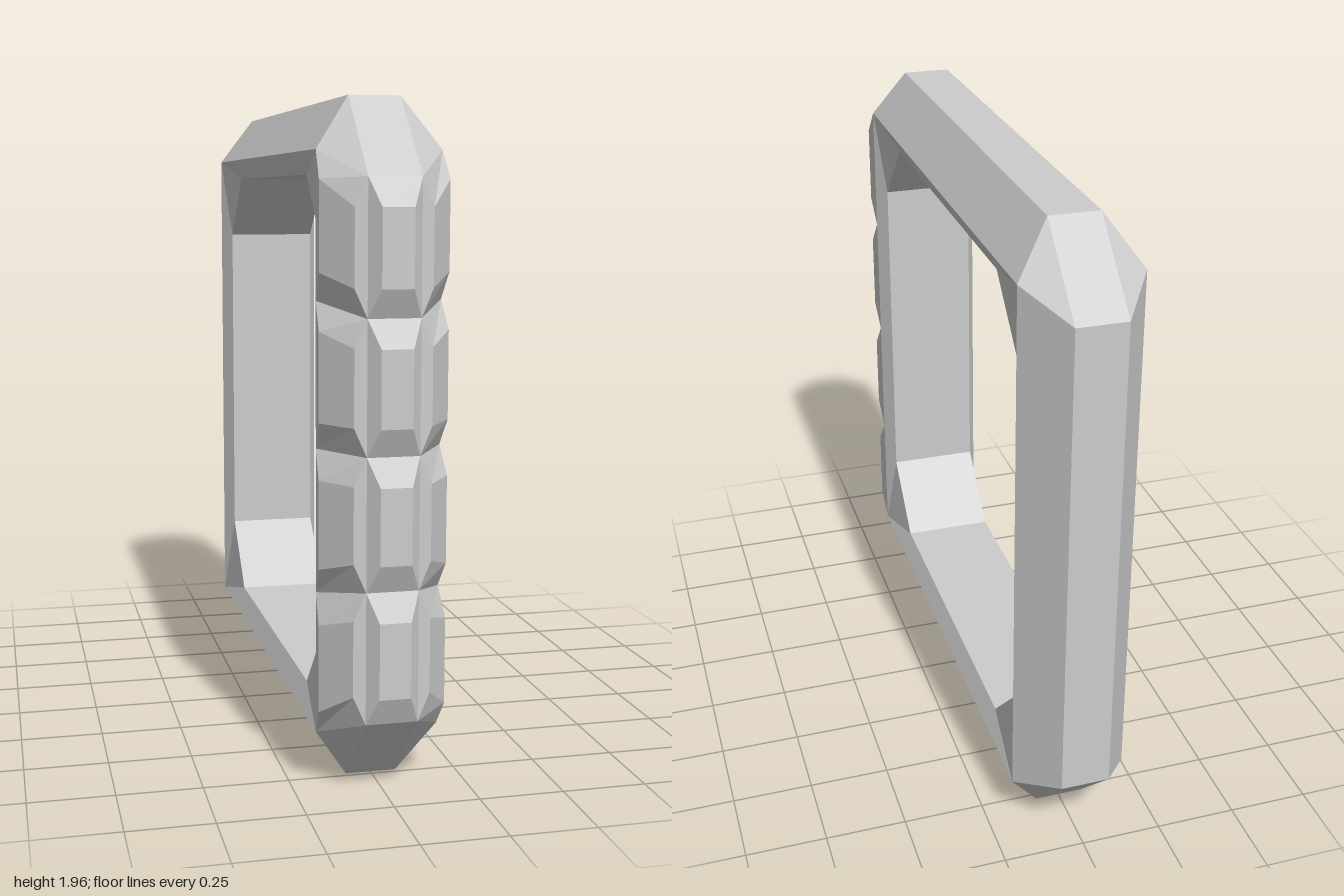
import * as THREE from 'three';

// Builds a faceted mesh from counter-clockwise quads of [x, y, z] corners
function facetedMesh(name, quads) {
  const position = [];
  for (const [a, b, c, d] of quads) {
    for (const tri of [[a, b, c], [a, c, d]]) {
      const [p, q, r] = tri.map((v) => new THREE.Vector3(...v));
      const area = q.clone().sub(p).cross(r.clone().sub(p)).length();
      if (area > 1e-7) position.push(...tri.flat()); // drop collapsed corners
    }
  }
  const geometry = new THREE.BufferGeometry();
  geometry.setAttribute('position', new THREE.Float32BufferAttribute(position, 3));
  geometry.computeVertexNormals();
  const material = new THREE.MeshStandardMaterial({ color: 0xcccccc, flatShading: true });
  const mesh = new THREE.Mesh(geometry, material);
  mesh.name = name;
  return mesh;
}

// Loops as [z, y], running up the front, back over the top, down the back
const OUTER = [[0.965, 0.23], [0.965, 1.735], [0.74, 1.96], [-0.77, 1.96],
  [-1, 1.74], [-1, 0.235], [-0.77, 0], [0.735, 0]];
const EDGE = [[0.8, 0.16], [0.8, 1.81], [0.8, 1.81], [-0.845, 1.81],
  [-0.845, 1.81], [-0.845, 0.16], [-0.845, 0.16], [0.8, 0.16]];
const INNER = [[0.745, 0.43], [0.745, 1.535], [0.54, 1.745], [-0.57, 1.745],
  [-0.78, 1.54], [-0.78, 0.435], [-0.57, 0.225], [0.54, 0.225]];
const OUTER_X = 0.075, EDGE_X = 0.18, INNER_X = 0.15;

// Six-sided section swept around the square loop, open where the studs sit
function createFrame() {
  const rails = [[OUTER, OUTER_X], [EDGE, EDGE_X], [INNER, INNER_X],
    [INNER, -INNER_X], [EDGE, -EDGE_X], [OUTER, -OUTER_X]];
  const point = (i, j) => {
    const [loop, x] = rails[j % 6];
    const [z, y] = loop[i % 8];
    return [x, y, z];
  };
  const quads = [];
  for (let i = 0; i < 8; i++) {
    for (let j = 0; j < 6; j++) {
      if (i === 0 && (j === 0 || j > 3)) continue;
      quads.push([point(i, j), point(i, j + 1), point(i + 1, j + 1), point(i + 1, j)]);
    }
  }
  return facetedMesh('squareFrame', quads);
}

// Four rows of three bevelled studs with V grooves between them
function createStuds() {
  const rows = 4;
  const quads = [];
  const rowY = (edge, r) => {
    const [low, high] = edge ? [0.16, 1.81] : [0.23, 1.735];
    return low + (high - low) * r / rows;
  };
  // each column: left and right base [x, z], left and right cap [x, z]
  const columns = [
    [[-EDGE_X, 0.8], [-OUTER_X, 0.965], [-0.185, 0.86], [-0.11, 0.96]],
    [[-OUTER_X, 0.965], [OUTER_X, 0.965], [-0.045, 1], [0.045, 1]],
    [[OUTER_X, 0.965], [EDGE_X, 0.8], [0.11, 0.96], [0.185, 0.86]],
  ];
  columns.forEach(([baseL, baseR, capL, capR], c) => {
    for (let r = 0; r < rows; r++) {
      const ring = (left, right, inset) => {
        const corner = ([x, z], edge, top) =>
          [x, rowY(edge, r + top) + (top ? -inset : inset), z];
        const l = c === 0, e = c === 2;
        return [corner(left, l, 0), corner(right, e, 0), corner(right, e, 1), corner(left, l, 1)];
      };
      const base = ring(baseL, baseR, 0);
      const cap = ring(capL, capR, 0.08);
      quads.push(cap);
      for (let k = 0; k < 4; k++) {
        const n = (k + 1) % 4;
        quads.push([base[k], base[n], cap[n], cap[k]]);
      }
    }
  });
  return facetedMesh('frontStuds', quads);
}

export function createModel() {
  const model = new THREE.Group();
  model.name = 'studdedSquareRing';
  model.add(createFrame(), createStuds());
  return model;
}
